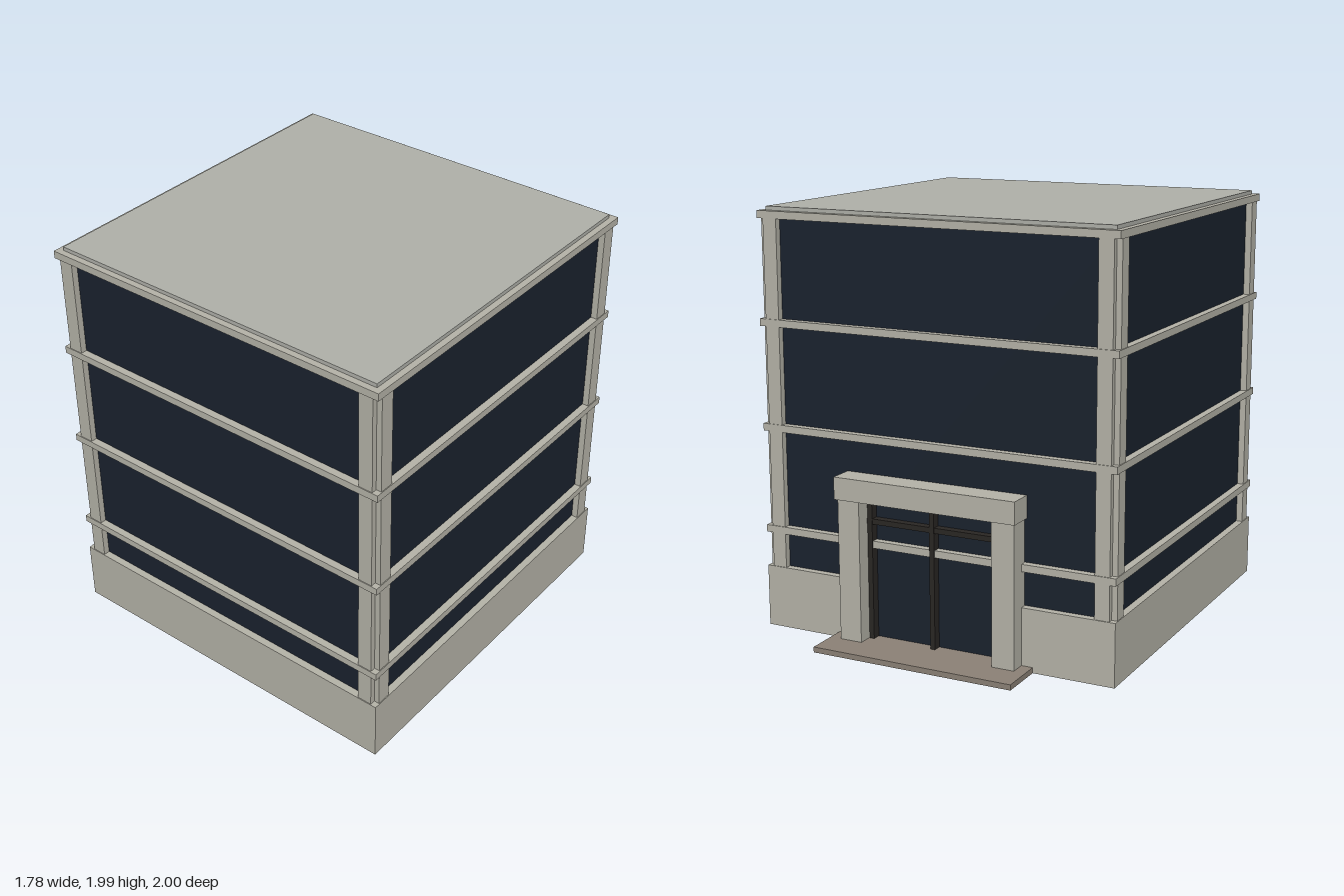
import * as THREE from 'three';

const wall = new THREE.MeshStandardMaterial({ color: 0xb6b4a9 });
const roofGrey = new THREE.MeshStandardMaterial({ color: 0xb0b1aa });
const glass = new THREE.MeshStandardMaterial({ color: 0x1a222e });
const paving = new THREE.MeshStandardMaterial({ color: 0x8c8277 });
const frameDark = new THREE.MeshStandardMaterial({ color: 0x2a2724 });

// Box given by its extents on each axis
function box(parent, name, material, [x0, x1], [y0, y1], [z0, z1]) {
  const mesh = new THREE.Mesh(new THREE.BoxGeometry(x1 - x0, y1 - y0, z1 - z0), material);
  mesh.position.set((x0 + x1) / 2, (y0 + y1) / 2, (z0 + z1) / 2);
  mesh.name = name;
  parent.add(mesh);
  return mesh;
}

function group(parent, name) {
  const g = new THREE.Group();
  g.name = name;
  parent.add(g);
  return g;
}

export function createModel() {
  const model = new THREE.Group();
  model.name = 'officeBuilding';

  // Main block, centred on its own origin, set forward to leave room for the porch
  const block = group(model, 'block');
  block.position.z = 0.11;
  const W = 0.89;
  const baseTop = 0.295;
  const doorHalf = 0.345;

  // Glazed core
  box(block, 'glassCore', glass, [-0.855, 0.855], [0.008, 1.95], [-0.855, 0.855]);

  // Plinth walls, with a door opening at the back
  const base = group(block, 'base');
  box(base, 'baseFront', wall, [-W, W], [0, baseTop], [0.85, W]);
  for (const s of [-1, 1]) {
    const side = [s * 0.85, s * W].sort((a, b) => a - b);
    const back = [s * doorHalf, s * 0.85].sort((a, b) => a - b);
    box(base, 'baseSide', wall, side, [0, baseTop], [-W, 0.85]);
    box(base, 'baseBack', wall, back, [0, baseTop], [-W, -0.85]);
  }

  // Corner piers: two overlapping boxes leave a notch on the outer edge
  const piers = group(block, 'cornerPiers');
  for (const sx of [-1, 1]) for (const sz of [-1, 1]) {
    const span = (s, a, b) => [s * a, s * b].sort((p, q) => p - q);
    box(piers, 'pierAlongX', wall, span(sx, 0.79, 0.86), [baseTop, 1.94], span(sz, 0.79, 0.886));
    box(piers, 'pierAlongZ', wall, span(sx, 0.79, 0.886), [baseTop, 1.94], span(sz, 0.79, 0.86));
  }

  // Floor bands
  for (const y of [0.46, 0.95, 1.442]) {
    box(block, 'floorBand', wall, [-W, W], [y, y + 0.034], [-W, W]);
  }

  // Roof cornice and cap
  box(block, 'cornice', wall, [-W, W], [1.935, 1.97], [-W, W]);
  box(block, 'roofCap', roofGrey, [-0.86, 0.86], [1.97, 1.988], [-0.86, 0.86]);

  // Entrance porch on the back
  const porch = group(model, 'porch');
  box(porch, 'porchSlab', paving, [-0.5, 0.5], [0, 0.026], [-1, -0.74]);
  box(porch, 'porchLintel', wall, [-0.455, 0.455], [0.695, 0.8], [-0.87, -0.75]);
  box(porch, 'porchPostLeft', wall, [0.335, 0.445], [0.026, 0.695], [-0.855, -0.75]);
  box(porch, 'porchPostRight', wall, [-0.445, -0.335], [0.026, 0.695], [-0.855, -0.75]);

  // Door frame
  for (const x of [-0.32, 0, 0.32]) {
    box(porch, 'doorMullion', frameDark, [x - 0.012, x + 0.012], [0.026, 0.695], [-0.786, -0.74]);
  }
  box(porch, 'doorTransom', frameDark, [-0.335, 0.335], [0.575, 0.6], [-0.784, -0.74]);

  return model;
}
